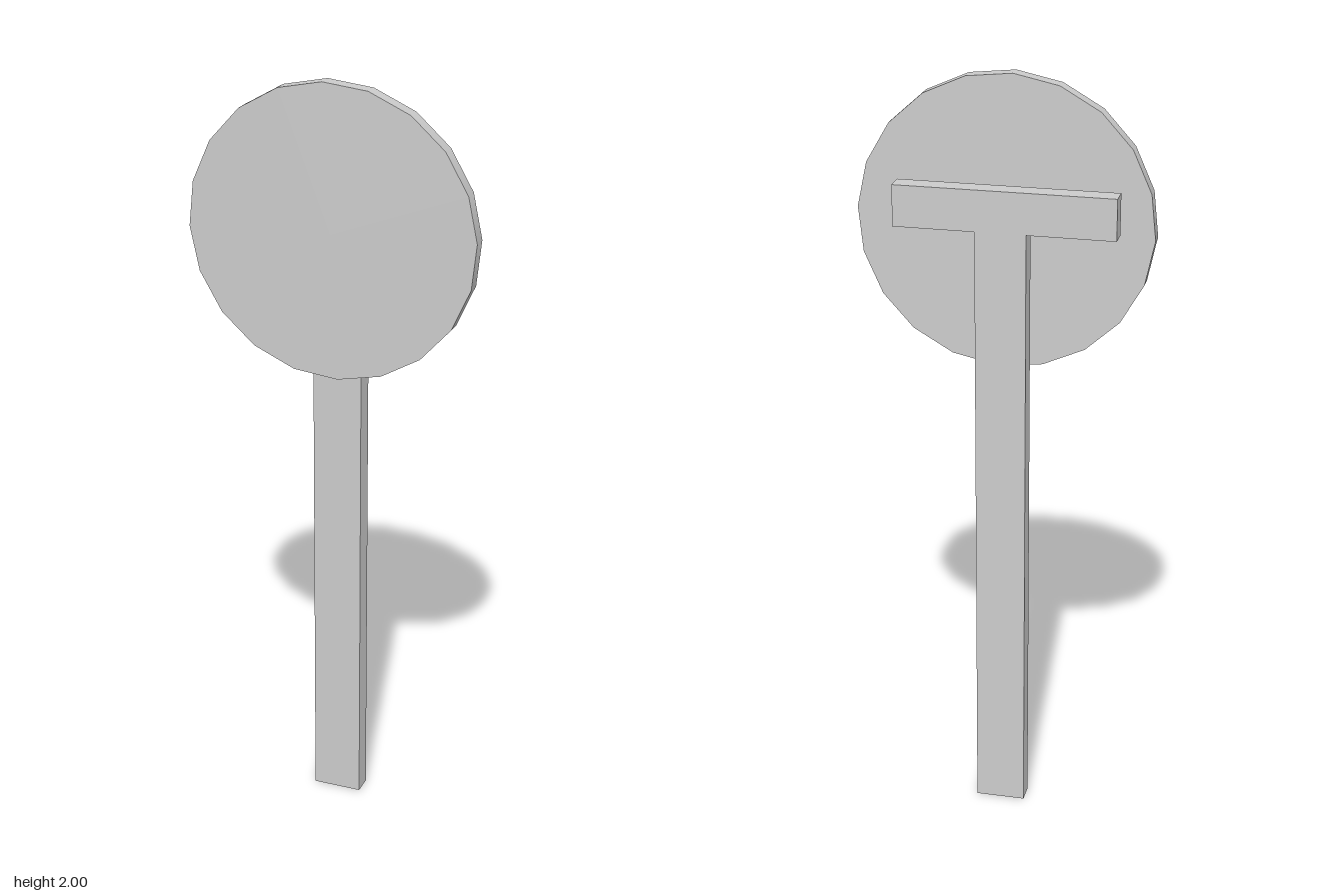
import * as THREE from 'three';

const material = new THREE.MeshStandardMaterial({ color: 0xcccccc });

// Box given by its lower and upper corners
function box(name, [x0, y0, z0], [x1, y1, z1]) {
  const mesh = new THREE.Mesh(new THREE.BoxGeometry(x1 - x0, y1 - y0, z1 - z0), material);
  mesh.position.set((x0 + x1) / 2, (y0 + y1) / 2, (z0 + z1) / 2);
  mesh.name = name;
  return mesh;
}

export function createModel() {
  const model = new THREE.Group();
  model.name = 'roundSign';

  // Upright post and the crossbar behind the disc
  model.add(box('post', [-0.07, 0, -0.057], [0.06, 1.67, -0.004]));
  model.add(box('crossbar', [-0.295, 1.62, -0.059], [0.268, 1.727, -0.007]));

  // Twenty-sided disc with a smooth rim, turned slightly about its axis
  const geometry = new THREE.CylinderGeometry(0.379, 0.379, 0.039, 20, 1, false, THREE.MathUtils.degToRad(93));
  geometry.rotateX(Math.PI / 2);
  const disc = new THREE.Mesh(geometry, material);
  disc.position.set(0, 1.622, 0.0385);
  disc.name = 'signDisc';
  model.add(disc);

  return model;
}
